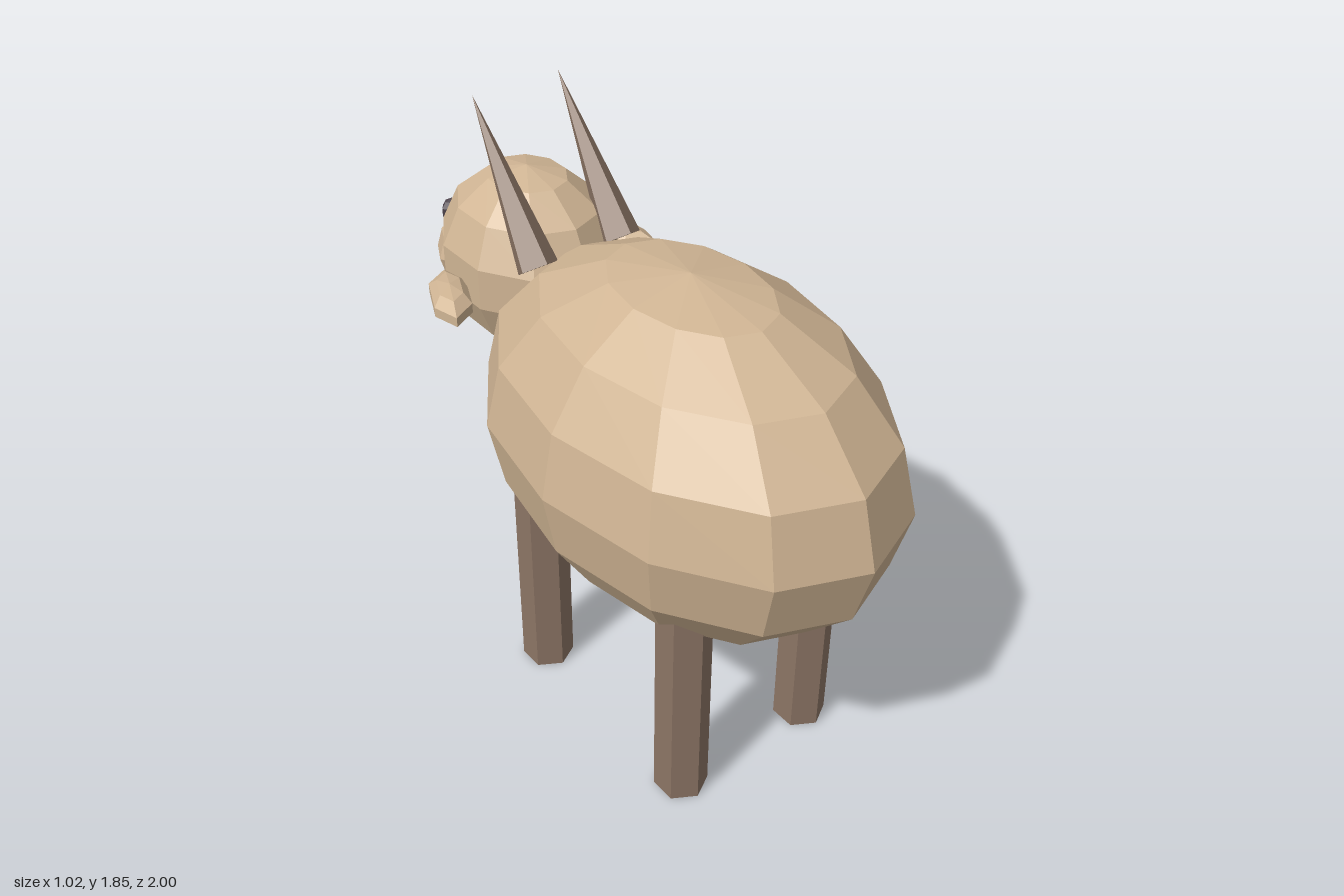
import * as THREE from 'three';

const paint = (color) => new THREE.MeshStandardMaterial({ color, flatShading: true });

export function createModel() {
  const model = new THREE.Group();
  const wool = paint(0xd0b594);
  const brown = paint(0x8c7565);
  const dark = paint(0x4b4149);
  const grey = paint(0xcccccc);

  function add(name, geometry, material, x, y, z) {
    const mesh = new THREE.Mesh(geometry, material);
    mesh.name = name;
    mesh.position.set(x, y, z);
    model.add(mesh);
    return mesh;
  }

  // Low-poly ellipsoid; turn spins its facets before stretching
  function ellipsoid(rx, ry, rz, around, rows, turn = 0) {
    return new THREE.SphereGeometry(1, around, rows).rotateY(turn).scale(rx, ry, rz);
  }

  // Body, head and muzzle (the animal looks towards -z)
  add('body', ellipsoid(0.51, 0.537, 0.77, 12, 8), wool, 0, 1.046, 0.23);
  add('head', ellipsoid(0.275, 0.304, 0.325, 10, 7, Math.PI / 2), wool, 0, 1.293, -0.56);
  add('muzzle', ellipsoid(0.15, 0.131, 0.123, 8, 6), wool, 0, 1.177, -0.877);

  // Beard: five-sided cone pointing down
  const beard = new THREE.ConeGeometry(0.09, 0.25, 5);
  beard.scale(1, -1, 1);
  // Mirroring flips the faces, so restore the corner order
  const index = beard.index;
  for (let i = 0; i < index.count; i += 3) {
    const a = index.getX(i);
    index.setX(i, index.getX(i + 1));
    index.setX(i + 1, a);
  }
  beard.computeVertexNormals();
  add('beard', beard, grey, 0, 0.95, -0.716);

  for (const side of [-1, 1]) {
    add('eye', ellipsoid(0.037, 0.04, 0.03, 6, 5), dark, side * 0.118, 1.37, -0.828);

    // Flat ears sweeping outwards and back
    const ear = add('ear', ellipsoid(0.155, 0.05, 0.069, 6, 5), wool, side * 0.317, 1.257, -0.53);
    ear.rotation.y = -side * 1.15;

    // Horns leaning over the head
    const horn = add('horn', new THREE.ConeGeometry(0.066, 0.533, 5), brown, side * 0.152, 1.63, -0.445);
    horn.rotation.x = -0.61;

    // Hexagonal legs
    for (const [name, z] of [['frontLeg', -0.185], ['backLeg', 0.535]]) {
      add(name, new THREE.CylinderGeometry(0.084, 0.084, 0.82, 6), brown, side * 0.247, 0.41, z);
    }
  }

  return model;
}
